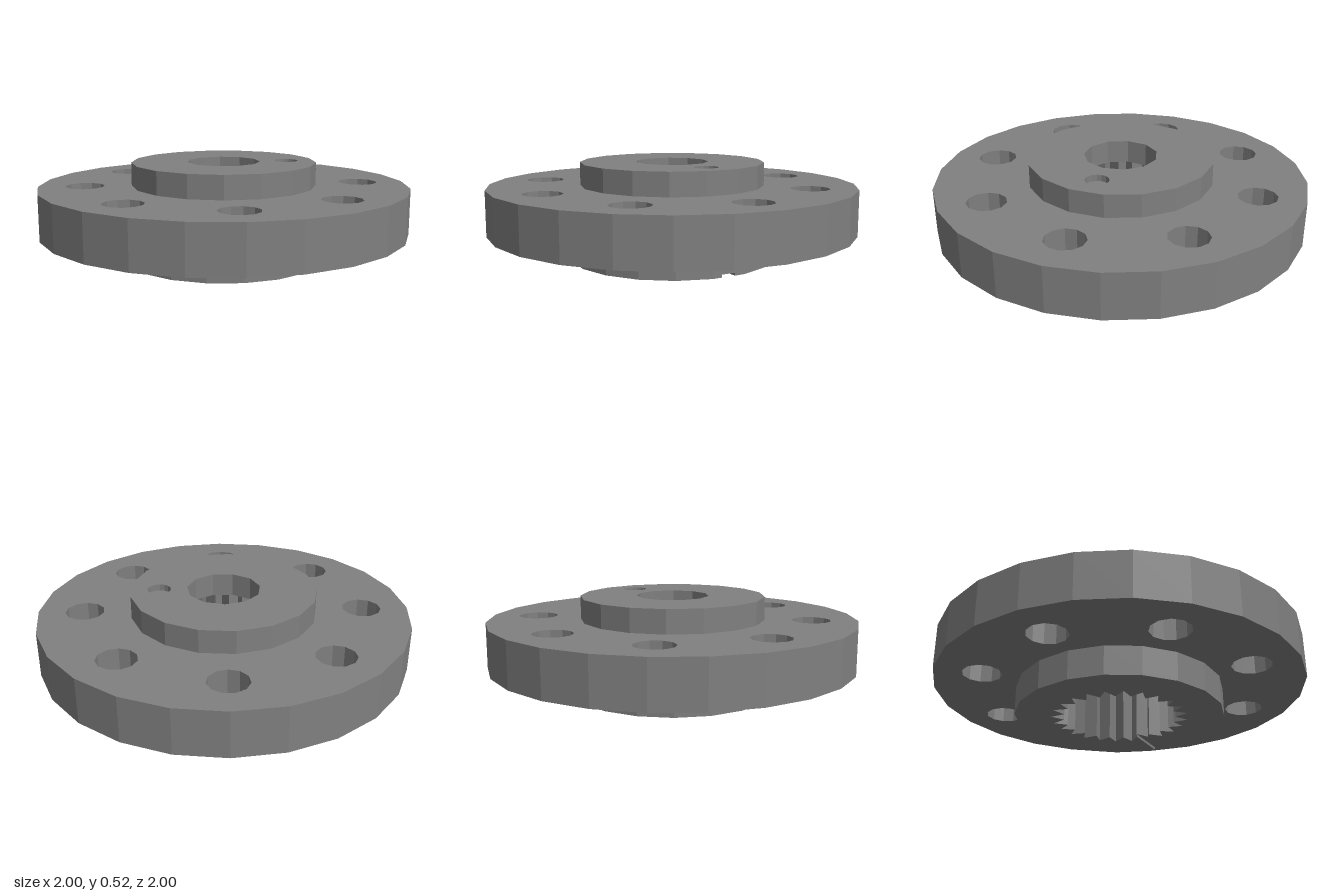
import * as THREE from 'three';
import { mergeGeometries } from 'three/addons/utils/BufferGeometryUtils.js';

// Regular polygon outline in the x/z plane, as [x, z] points
function ring(r, n, phase = 0, cx = 0, cz = 0) {
  return Array.from({ length: n }, (_, i) => {
    const a = phase + (i / n) * Math.PI * 2;
    return [cx + r * Math.cos(a), cz + r * Math.sin(a)];
  });
}

// Upright faceted wall along an outline; reversing the outline turns it inward
function wall(pts, y0, y1, closed = true) {
  const pos = [];
  for (let i = 0; i < pts.length - (closed ? 0 : 1); i++) {
    const [ax, az] = pts[i], [bx, bz] = pts[(i + 1) % pts.length];
    pos.push(ax, y0, az, ax, y1, az, bx, y1, bz, ax, y0, az, bx, y1, bz, bx, y0, bz);
  }
  const g = new THREE.BufferGeometry();
  g.setAttribute('position', new THREE.Float32BufferAttribute(pos, 3));
  g.computeVertexNormals();
  return g;
}
const bore = (pts, y0, y1, closed) => wall([...pts].reverse(), y0, y1, closed);

// Level face with holes, facing up or down
function cap(outline, holes, y, up) {
  const s = up ? -1 : 1;
  const v = (pts) => pts.map(([x, z]) => new THREE.Vector2(x, s * z));
  const shape = new THREE.Shape(v(outline));
  shape.holes = holes.map((h) => new THREE.Path(v(h)));
  const g = new THREE.ShapeGeometry(shape).toNonIndexed();
  g.deleteAttribute('uv');
  return g.rotateX((s * Math.PI) / 2).translate(0, y, 0);
}

export function createModel() {
  const model = new THREE.Group();
  const steel = new THREE.MeshStandardMaterial({ color: 0x808080 });
  steel.name = 'grey steel';
  const add = (name, parts) => {
    const mesh = new THREE.Mesh(mergeGeometries(parts), steel);
    mesh.name = name;
    model.add(mesh);
  };

  // Heights of the three steps
  const yLow = 0.155, yMid = 0.4, yTop = 0.525;

  // Outlines
  const flange = ring(1, 24);
  const upper = ring(0.5, 17, Math.PI);
  const lower = ring(0.56, 19, Math.PI / 19);
  const shaft = ring(0.198, 11, -Math.PI / 2);
  const pin = ring(0.063, 16, 0, 0.345, 0);
  const bolts = Array.from({ length: 8 }, (_, i) => {
    const a = (i * Math.PI) / 4;
    return ring(0.105, 11, Math.PI / 2, 0.75 * Math.cos(a), 0.75 * Math.sin(a));
  });
  const spline = ring(1, 48).map(([x, z], i) => {
    const r = i % 2 ? 0.3 : 0.365;
    return [x * r, z * r];
  });

  // Flange with bolt holes
  add('flange', [
    wall(flange, yLow, yMid),
    cap(flange, [upper, ...bolts], yMid, true),
    cap(flange, [lower, ...bolts], yLow, false),
  ]);
  add('boltHoles', bolts.map((b) => bore(b, yLow, yMid)));

  // Upper hub with shaft bore and shallow pin hole
  add('upperHub', [wall(upper, yMid, yTop), cap(upper, [shaft, pin], yTop, true)]);
  add('shaftBore', [bore(shaft, yMid, yTop)]);
  add('pinHole', [bore(pin, yTop - 0.035, yTop), cap(pin, [], yTop - 0.035, true)]);

  // Lower hub, cut by a shallow groove on the +x side
  const depth = 0.015, half = spline[1][1], rimX = 0.56 * Math.cos(Math.PI / 19);
  const rimA = [rimX, half], rimB = [rimX, -half];
  const rim = [rimA, ...lower, rimB];
  const teeth = spline.slice(1);
  add('lowerHub', [
    wall(lower, depth, yLow),
    wall(rim, 0, depth, false),
    cap([...rim, ...[...teeth].reverse()], [], 0, false),
  ]);
  add('groove', [
    cap([rimB, rimA, spline[1], spline[0], spline[47]], [], depth, false),
    wall([spline[1], rimA], 0, depth, false),
    wall([rimB, spline[47]], 0, depth, false),
  ]);

  // Splined socket running up to the shaft bore
  add('splineSocket', [
    bore(spline, depth, yMid),
    bore(teeth, 0, depth, false),
    cap(spline, [shaft], yMid, false),
  ]);
  return model;
}
